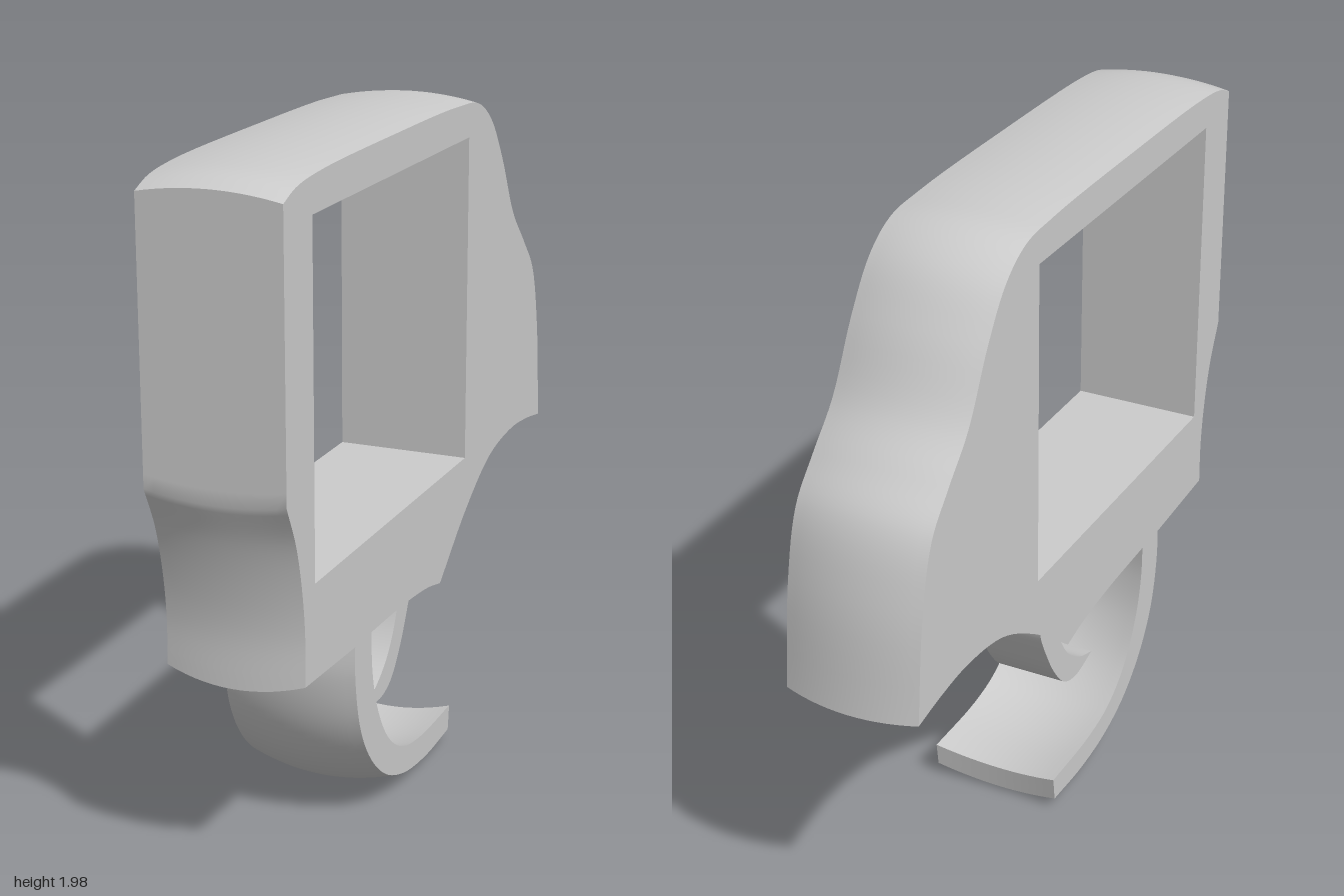
import * as THREE from 'three';
import { toCreasedNormals } from 'three/addons/utils/BufferGeometryUtils.js';

const STEPS = 14;
const round = (v) => Math.round(v * 1e4) / 1e4;
const key = (u, v) => `${Math.round(u * 1e4)},${Math.round(v * 1e4)}`;

// Builds a plate from outline runs. Each row is [z, y, dz, dy]: a point on the
// side edge and how far it shifts at the middle of the width (the crown).
function crownedPlate(name, runs, halfWidth, hole) {
  const points = [];
  const crown = new Map();
  for (const rows of runs) {
    const edge = new THREE.CatmullRomCurve3(rows.map(([z, y]) => new THREE.Vector3(-z, y, 0)));
    const shift = new THREE.CatmullRomCurve3(
      rows.map(([z, y, dz = 0, dy = 0]) => new THREE.Vector3(-z - dz, y + dy, 0)));
    const n = 6 * (rows.length - 1);
    for (let i = 0; i <= n; i++) {
      const e = edge.getPoint(i / n);
      const m = shift.getPoint(i / n);
      const u = round(e.x), v = round(e.y);
      if (crown.has(key(u, v))) continue;
      crown.set(key(u, v), [Math.max(m.x, -1) - u, m.y - v]);
      points.push(new THREE.Vector2(u, v));
    }
  }
  const shape = new THREE.Shape(points);
  if (hole) shape.holes.push(new THREE.Path(hole.map(([z, y]) => new THREE.Vector2(-z, y))));

  const geo = new THREE.ExtrudeGeometry(shape, { depth: 2 * halfWidth, steps: STEPS, bevelEnabled: false });
  geo.translate(0, 0, -halfWidth);
  const pos = geo.attributes.position;
  for (let i = 0; i < pos.count; i++) {
    const offset = crown.get(key(pos.getX(i), pos.getY(i)));
    if (!offset) continue;
    const w = Math.max(0, 1 - (pos.getZ(i) / halfWidth) ** 2);
    pos.setXY(i, pos.getX(i) + offset[0] * w, pos.getY(i) + offset[1] * w);
  }
  geo.rotateY(Math.PI / 2);
  const mesh = new THREE.Mesh(toCreasedNormals(geo, 0.55), new THREE.MeshStandardMaterial({ color: 0xcccccc }));
  mesh.name = name;
  return mesh;
}

export function createModel() {
  const group = new THREE.Group();
  group.name = 'framedHandle';

  // Body outline, running from the front face over the top to the back and underneath
  const body = [
    [[1, 1.14, 0, -0.02], [1, 1.91, 0, 0.02]],
    [[1, 1.91, 0, 0.02], [0.93, 1.935, 0, 0.02], [0.8, 1.95, 0, 0.018], [0.3, 1.957, 0, 0.018],
      [-0.2, 1.952, 0, 0.018], [-0.36, 1.935, -0.01, 0.02], [-0.47, 1.87, -0.02, 0.02],
      [-0.57, 1.74, -0.025, 0.015], [-0.68, 1.55, -0.025, 0.015], [-0.79, 1.435, -0.02, 0.02],
      [-0.88, 1.33, -0.025, 0.015], [-0.935, 1.14, -0.03, 0.005], [-0.97, 0.82, -0.03, -0.008]],
    // hollowed arch under the back
    [[-0.97, 0.82, -0.03, -0.008], [-0.85, 0.84, 0, 0.035], [-0.7, 0.85, 0, 0.065],
      [-0.5, 0.82, 0.02, 0.07], [-0.3, 0.715, 0.04, 0.06], [-0.08, 0.55, 0.05, 0.025]],
    [[-0.08, 0.55, 0.05, 0.025], [0.02, 0.572], [0.2, 0.59], [0.45, 0.598]],
    [[0.45, 0.598], [0.56, 0.598, 0, -0.028]],
    [[0.56, 0.598, 0, -0.028], [0.897, 0.615, 0.02, -0.03]],
    [[0.897, 0.615, 0.02, -0.03], [0.895, 0.75, 0.018, -0.01], [0.91, 0.88, 0.018, -0.01],
      [0.945, 1.02, 0.015, -0.01], [1, 1.14, 0, -0.02]],
  ];
  const opening = [[0.83, 0.88], [-0.28, 0.88], [-0.28, 1.85], [0.83, 1.85]];
  group.add(crownedPlate('body', body, 0.2, opening));

  // Curved guard strip, dished across its width
  const guard = [
    [[0.565, 0.63, 0.02, 0], [0.565, 0.5, 0.025, -0.005], [0.53, 0.34, 0.022, -0.015],
      [0.455, 0.215, 0.02, -0.025], [0.34, 0.115, 0.015, -0.03], [0.2, 0.057, 0.005, -0.032],
      [0.03, 0.034, 0, -0.034], [-0.16, 0.04, 0.015, -0.03]],
    [[-0.16, 0.04, 0.015, -0.03], [-0.17, 0.115, 0.015, -0.028]],
    [[-0.17, 0.115, 0.015, -0.028], [0.08, 0.118, 0, -0.028], [0.22, 0.15, 0.008, -0.026],
      [0.33, 0.23, 0.018, -0.018], [0.41, 0.36, 0.022, -0.01], [0.445, 0.49, 0.02, 0],
      [0.45, 0.63, 0.02, 0]],
    [[0.45, 0.63, 0.02, 0], [0.565, 0.63, 0.02, 0]],
  ];
  group.add(crownedPlate('guard', guard, 0.2));

  // Narrow hooked trigger
  const trigger = [
    [[-0.085, 0.6], [-0.08, 0.55], [-0.045, 0.47], [0.02, 0.36], [0.09, 0.287], [0.17, 0.264], [0.28, 0.287]],
    [[0.28, 0.287], [0.2, 0.315], [0.12, 0.37], [0.06, 0.45], [0.02, 0.56], [0.015, 0.62]],
    [[0.015, 0.62], [-0.085, 0.6]],
  ];
  group.add(crownedPlate('trigger', trigger, 0.11));

  return group;
}
